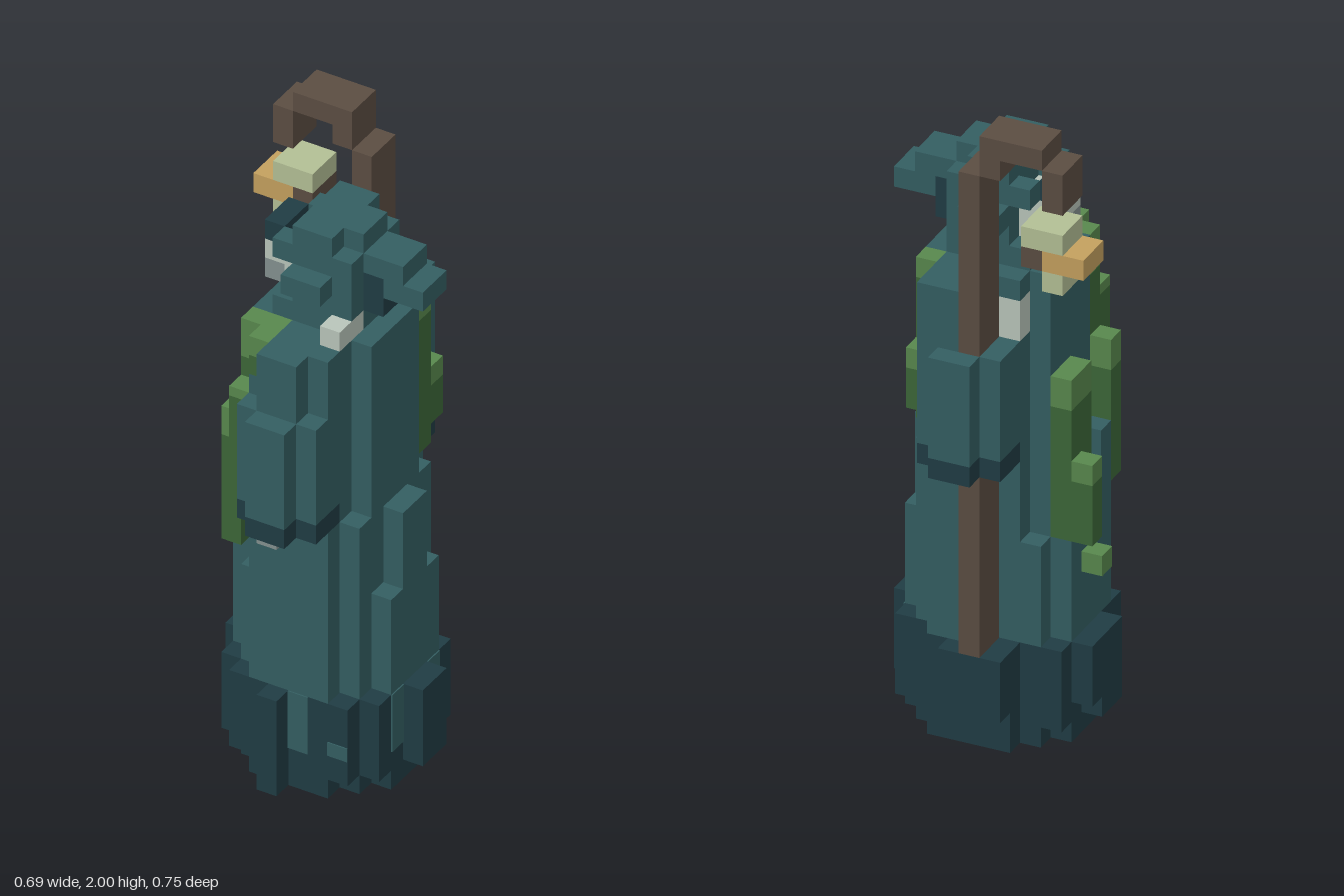
import * as THREE from 'three';

const U = 0.0625; // one block
const mat = (name, color) => Object.assign(new THREE.MeshStandardMaterial({ color }), { name });

export function createModel() {
  const root = new THREE.Group();
  root.name = 'hoodedWanderer';
  const M = {
    robe: mat('robe teal', 0x345e62),
    dark: mat('dark teal', 0x203c44),
    skin: mat('pale skin', 0xb9c5ba),
    beard: mat('grey', 0x83918f),
    wood: mat('staff wood', 0x5b4d42),
    gold: mat('lantern gold', 0xc4a05e),
    glow: mat('lantern pale', 0xb3bf95),
    moss: mat('light moss', 0x58884d),
    fern: mat('dark moss', 0x3c6738),
  };

  // Each box is [x0, x1, y0, y1, z0, z1] in block units from the grid corner
  function part(name, material, boxes) {
    const g = new THREE.Group();
    g.name = name;
    for (const [x0, x1, y0, y1, z0, z1] of boxes) {
      const m = new THREE.Mesh(new THREE.BoxGeometry((x1 - x0) * U, (y1 - y0) * U, (z1 - z0) * U), material);
      m.position.set(((x0 + x1) / 2 - 5.5) * U, ((y0 + y1) / 2) * U, ((z0 + z1) / 2 - 6) * U);
      m.name = name + 'Block';
      g.add(m);
    }
    root.add(g);
  }
  // Rows [z0, z1, x0, x1] sharing one height range
  const layer = (y0, y1, rows) => rows.map(([z0, z1, x0, x1]) => [x0, x1, y0, y1, z0, z1]);

  // Ragged dark hem
  part('hem', M.dark, [
    ...layer(0, 1, [[4, 5, 5, 7], [5, 7, 4, 8], [7, 8, 5, 7]]),
    ...layer(1, 2, [[2, 3, 4, 8], [3, 4, 3, 9], [4, 8, 2, 10], [8, 9, 3, 9], [9, 10, 4, 8], [10, 11, 5, 6]]),
    ...layer(2, 6, [[2, 3, 4, 8], [3, 4, 2, 10], [4, 5, 2, 10], [5, 7, 1, 11],
      [7, 9, 2, 10], [9, 10, 3, 9], [10, 11, 5, 6]]),
    ...layer(3, 6, [[1, 2, 4, 7], [4, 5, 1, 2]]),
  ]);
  // Robe colour streaks running down the hem
  part('hemStreak', M.robe, [
    [6, 7, 3, 6, 10, 10.06], [8, 9, 3.3, 4, 10, 10.06],
    [10, 10.06, 3, 6, 7, 8], [10, 10.06, 3, 6, 4, 5],
  ]);

  // Skirt with stepped folds
  part('skirt', M.robe, [
    ...layer(6, 15, [[2, 3, 6, 8], [3, 4, 4, 8], [4, 8, 3, 9], [8, 9, 4, 9], [9, 10, 4, 8],
      [5, 7, 9, 10], [7, 8, 2, 3], [3, 4, 8, 9]]),
    ...layer(6, 11, [[3, 4, 3, 9], [8, 9, 3, 4], [7, 8, 9, 10], [4, 5, 9, 10], [4, 6, 2, 3]]),
    ...layer(6, 13, [[6, 7, 2, 3]]),
  ]);

  // Torso
  part('torso', M.robe, [
    ...layer(15, 24, [[3, 4, 5, 8], [4, 8, 3, 9], [8, 9, 5, 8]]),
    [4, 5, 15, 22, 8, 9], [4, 5, 15, 21, 3, 4], [4, 5, 23, 24, 3, 4],
  ]);

  // Wide sleeves with dark cuffs
  part('rightSleeve', M.robe, [
    [4, 8, 16, 21, 1, 3], [6, 8, 21, 24, 1, 3], [5, 7, 16, 21, 0, 1],
  ]);
  part('leftSleeve', M.robe, [
    [4, 8, 16, 22, 9, 10], [5, 8, 22, 24, 9, 10], [4, 8, 16, 21, 10, 11],
    [5, 7, 21, 24, 10, 11], [5, 7, 16, 21, 11, 12],
  ]);
  part('cuff', M.dark, [
    [4, 8, 15, 16, 1, 3], [5, 7, 15, 16, 0, 1],
    [4, 8, 15, 16, 9, 11], [5, 7, 15, 16, 11, 12],
  ]);
  part('rightHand', M.skin, [[4, 5, 21, 23, 3, 4]]);
  part('leftHand', M.beard, [[5, 6, 14, 15, 10, 11]]);
  part('collarClasp', M.skin, [[7, 8, 24, 25, 7, 9]]);

  // Hooded head with a stepped crown and a drooping tail
  part('hood', M.robe, [
    [4, 8, 24, 25, 4, 7], [4, 7, 24, 25, 7, 8], [5, 8, 25, 28, 4, 8],
    [5, 7, 28, 29, 4, 8], [7, 8, 28, 29, 5, 7],
    [5, 7, 26, 27, 3, 9], [8, 10, 27, 28, 5, 7], [9, 11, 26, 27, 5, 7],
    [4, 5, 27, 28, 4, 5], [4, 5, 27, 28, 7, 8],
  ]);
  part('hoodShade', M.dark, [[8, 9, 25, 27, 5, 7], [3, 4, 27, 28, 5, 7]]);
  part('face', M.skin, [[4, 5, 25, 27, 5, 7], [3, 4, 26, 27, 5, 7]]);
  part('beard', M.beard, [[3, 4, 25, 26, 5, 7]]);

  // Crooked staff
  part('staff', M.wood, [
    [5, 6, 6, 15, 1, 3], [5, 6, 21, 30, 1, 3], [4, 5, 30, 32, 1, 3],
    [2, 4, 31, 32, 1, 3], [1, 2, 29, 31, 1, 3],
  ]);
  // Hanging lantern
  part('lanternLight', M.glow, [[1, 3, 27, 28, 1, 3], [1, 2, 25, 26, 1, 3]]);
  part('lanternFrame', M.gold, [[0, 2, 26, 27, 1, 3]]);
  part('lanternCore', M.wood, [[2, 3, 26, 27, 1, 3]]);

  // Moss strands: [x, z, bottom, split, top], lighter above the split
  const strands = [
    [3, 9, 16, 20.5, 21], [3, 8, 16, 22, 24], [4, 9, 22, 23, 24], [4, 8, 22, 23, 24],
    [2, 8, 12, 17.5, 19], [2, 4, 11, 17.5, 19], [2, 5, 11, 17.5, 19],
    [1, 4, 11, 14, 15], [1, 5, 9, 9, 10],
    [8, 3, 16, 23, 24], [8, 2, 17, 19, 20],
  ];
  part('mossTip', M.moss, strands.map(([x, z, , s, t]) => [x, x + 1, s, t, z, z + 1]));
  part('mossStrand', M.fern, strands.filter(([, , b, s]) => s > b)
    .map(([x, z, b, s]) => [x, x + 1, b, s, z, z + 1]));

  return root;
}
